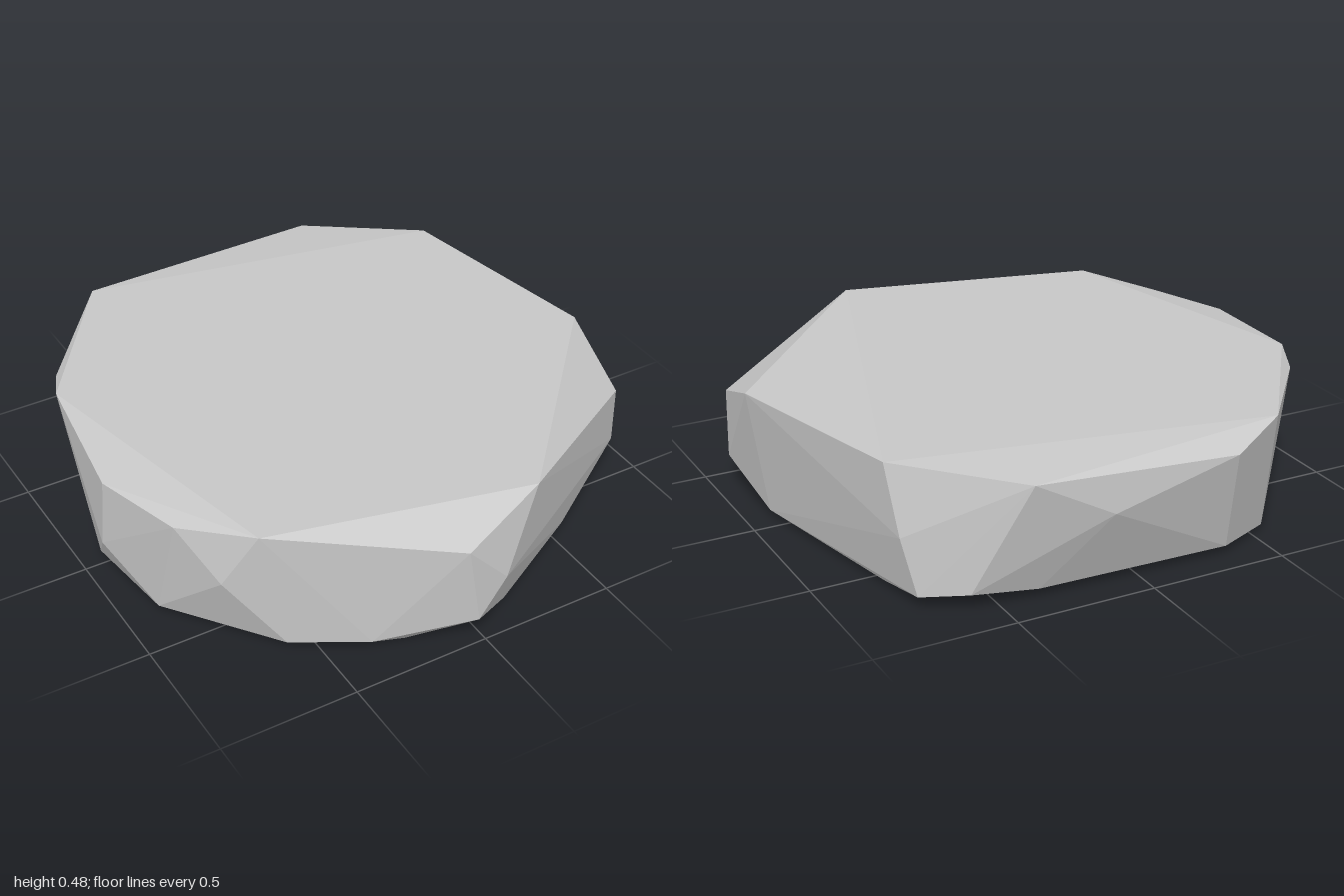
import * as THREE from 'three';
import { ConvexGeometry } from 'three/addons/geometries/ConvexGeometry.js';

// Rings of corners of the flat stone, each [x, y, z]
const topRim = [
  [-0.51, 0.48, -0.92], [0.43, 0.45, -0.98], [0.8, 0.48, -0.66], [0.965, 0.46, 0.12],
  [0.26, 0.48, 0.89], [-0.67, 0.48, 0.67], [-0.86, 0.44, 0.44], [-0.96, 0.445, 0.12],
  [-0.9, 0.48, -0.38],
];
const sides = [
  [-0.84, 0.45, -0.52], [-0.31, 0.41, -1], [0.15, 0.3, -1], [0.78, 0.24, -0.73],
  [0.92, 0.345, 0.45], [0.92, 0.13, 0.45], [0.95, 0.13, 0.37],
  [-0.08, 0.405, 1], [0.08, 0.23, 0.99], [-0.03, 0.1, 1],
  [-0.77, 0.27, 0.59], [-0.97, 0.18, 0.1],
];
const bottomRim = [
  [-0.34, 0.03, -0.9], [-0.55, 0.02, -0.8], [-0.76, 0.02, -0.47], [-0.93, 0.04, -0.02],
  [-0.88, 0.03, 0.33], [-0.59, 0.02, 0.7], [-0.35, 0.03, 0.85], [-0.23, 0, 0.86],
  [0.17, 0, 0.86], [0.57, 0.01, 0.64], [0.69, 0, 0.53], [0.89, 0.005, 0.2],
  [0.91, 0.025, 0.08], [0.77, 0.02, -0.58], [0.74, 0.04, -0.77], [0.6, 0.06, -0.87],
  [0.36, 0.03, -0.88], [0.3, 0, -0.83],
];

export function createModel() {
  const stone = new THREE.MeshStandardMaterial({ color: 0xc8c8c8 });
  stone.name = 'stoneGrey';

  // Faceted convex body
  const corners = [...topRim, ...sides, ...bottomRim].map((p) => new THREE.Vector3(...p));
  const rock = new THREE.Mesh(new ConvexGeometry(corners), stone);
  rock.name = 'rock';

  const group = new THREE.Group();
  group.name = 'flatStone';
  group.add(rock);
  return group;
}
